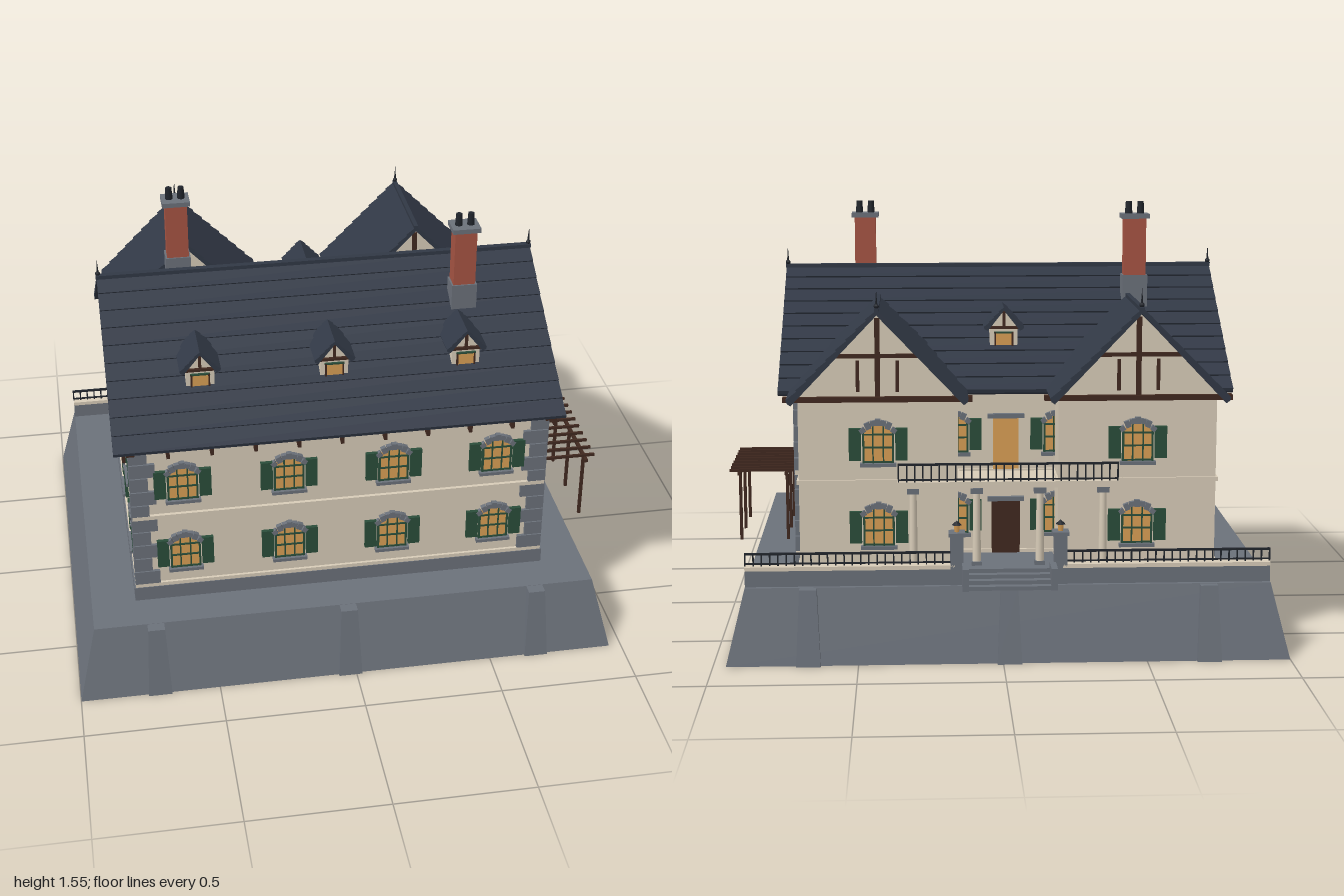
import * as THREE from 'three';

const mat = (name, color) => Object.assign(new THREE.MeshStandardMaterial({ color }), { name });
const plaster = mat('plaster', 0xd8ccb8);
const stone = mat('stone', 0x6b717a);
const slate = mat('slate', 0x313845);
const timber = mat('timber', 0x40281f);
const brick = mat('brick', 0xa65443);
const green = mat('shutter green', 0x2a4d3a);
const glass = mat('lit glass', 0xd99f55);
const iron = mat('iron', 0x20242b);

function add(parent, name, geo, material, x = 0, y = 0, z = 0) {
  const m = new THREE.Mesh(geo, material);
  m.name = name;
  m.position.set(x, y, z);
  parent.add(m);
  return m;
}
// Box given by its centre in x and z, and its bottom and top in y
const box = (p, name, material, w, d, y0, y1, x = 0, z = 0) =>
  add(p, name, new THREE.BoxGeometry(w, y1 - y0, d), material, x, (y0 + y1) / 2, z);
function group(parent, name, x = 0, y = 0, z = 0, ry = 0) {
  const g = new THREE.Group();
  g.name = name;
  g.position.set(x, y, z);
  g.rotation.y = ry;
  parent.add(g);
  return g;
}
// Box whose top has its own size and z offset
function taper(w0, d0, w1, d1, h, dz = 0) {
  const geo = new THREE.BoxGeometry(w0, h, d0).translate(0, h / 2, 0);
  const p = geo.attributes.position;
  for (let i = 0; i < p.count; i++) {
    if (p.getY(i) > h / 2) p.setXYZ(i, p.getX(i) * w1 / w0, h, p.getZ(i) * d1 / d0 + dz);
  }
  geo.computeVertexNormals();
  return geo;
}
const extrude = (shape, depth) => new THREE.ExtrudeGeometry(shape, { depth, bevelEnabled: false, curveSegments: 6 });
const polygon = pts => new THREE.Shape(pts.map(p => new THREE.Vector2(...p)));

// Gabled roof with overlapping courses, ridge along z
function roofGeometry(half, rise, length, rows, step = 0.006, t = 0.012) {
  const len = Math.hypot(half, rise), nx = rise / len, ny = half / len;
  const left = [];
  for (let i = 0; i < rows; i++) {
    const a = i / rows, b = (i + 1) / rows;
    left.push([-half * (1 - a) - nx * step, rise * a + ny * step], [-half * (1 - b), rise * b]);
  }
  const right = left.slice(0, -1).reverse().map(([x, y]) => [-x, y]);
  const drop = t / ny;
  return extrude(polygon([...left, ...right, [half, -drop / 2], [half - 0.012, -drop], [0, rise - drop],
    [-half + 0.012, -drop], [-half, -drop / 2]]), length).translate(0, 0, -length / 2);
}

// Half-timbered gable facing +z
function gable(parent, half, h, beam, x, y, z, ry) {
  const g = group(parent, 'timberedGable', x, y, z, ry);
  add(g, 'gableWall', extrude(polygon([[-half, 0], [half, 0], [0, h]]), 0.02), plaster, 0, 0, -0.02);
  box(g, 'kingPost', timber, 0.018, 0.016, 0, h - 0.015);
  box(g, 'collarBeam', timber, half * 1.02, 0.016, h * 0.49, h * 0.49 + 0.014);
  for (const s of [-1, 1]) box(g, 'gableStud', timber, 0.012, 0.014, 0.03, h * 0.46, s * half * 0.23);
  box(g, 'tieBeam', timber, beam * 2, 0.03, -0.004, 0.014, 0, 0.005);
}

// Arched shuttered window facing +z, sill at the origin
function makeWindow(parent, x, y, z, ry = 0) {
  const g = group(parent, 'window', x, y, z, ry);
  const pane = polygon([[-0.052, 0], [0.052, 0], [0.052, 0.108]]);
  pane.quadraticCurveTo(0, 0.165, -0.052, 0.108);
  add(g, 'windowPane', extrude(pane, 0.008), glass);
  for (const s of [-1, 1]) {
    box(g, 'shutter', green, 0.042, 0.014, 0.01, 0.122, s * 0.08, 0.008);
    box(g, 'windowJamb', green, 0.007, 0.012, 0, 0.11, s * 0.051, 0.006);
    box(g, 'mullion', green, 0.005, 0.004, 0, 0.13, s * 0.018, 0.01);
  }
  for (const h of [0.004, 0.055, 0.1]) box(g, 'glazingBar', green, 0.1, 0.004, h - 0.003, h + 0.003, 0, 0.01);
  for (let i = -3; i <= 3; i++) {
    const v = add(g, 'archStone', new THREE.BoxGeometry(0.019, i % 2 ? 0.018 : 0.024, 0.018), stone,
      i * 0.018, 0.143 - i * i * 0.0032, 0.008);
    v.rotation.z = -i * 0.2;
  }
  box(g, 'windowSill', stone, 0.125, 0.024, -0.012, 0, 0, 0.01);
}

function dormer(parent, x, z, ry) {
  const g = group(parent, 'dormer', x, 0, z, ry);
  box(g, 'dormerBody', plaster, 0.1, 0.14, 1.03, 1.112, 0, -0.08);
  box(g, 'dormerPane', glass, 0.056, 0.008, 1.048, 1.09, 0, -0.008);
  for (const s of [-1, 1]) box(g, 'dormerFrame', timber, 0.006, 0.012, 1.045, 1.095, s * 0.031, -0.008);
  box(g, 'dormerLintel', green, 0.07, 0.012, 1.09, 1.096, 0, -0.008);
  add(g, 'dormerGable', extrude(polygon([[-0.06, 0], [0.06, 0], [0, 0.063]]), 0.13), plaster, 0, 1.108, -0.142);
  box(g, 'dormerTie', timber, 0.13, 0.012, 1.106, 1.116, 0, -0.008);
  box(g, 'dormerPost', timber, 0.01, 0.01, 1.11, 1.17, 0, -0.008);
  add(g, 'dormerRoof', roofGeometry(0.07, 0.073, 0.165, 4, 0.004, 0.008), slate, 0, 1.112, -0.08);
}

function chimney(parent, x, z, lift) {
  const g = group(parent, 'chimney', x, lift, z);
  box(g, 'chimneyBase', stone, 0.092, 0.075, 1.1, 1.262);
  box(g, 'chimneyStack', brick, 0.08, 0.064, 1.262, 1.47);
  box(g, 'chimneyCap', stone, 0.102, 0.088, 1.47, 1.487);
  for (const s of [-1, 1])
    add(g, 'chimneyPot', new THREE.CylinderGeometry(0.011, 0.014, 0.045, 8), iron, s * 0.022, 1.509, 0);
}

function finial(parent, x, y, z) {
  add(parent, 'finialBall', new THREE.SphereGeometry(0.009, 8, 6), iron, x, y + 0.012, z);
  add(parent, 'finialSpike', new THREE.ConeGeometry(0.006, 0.07, 6), iron, x, y + 0.035, z);
}

// Iron railing along x
function railing(parent, x0, x1, y0, y1, z) {
  const g = group(parent, 'railing'), w = x1 - x0, mid = (x0 + x1) / 2, n = Math.round(w / 0.028);
  box(g, 'topRail', iron, w, 0.009, y1 - 0.007, y1, mid, z);
  box(g, 'bottomRail', iron, w, 0.006, y0 + 0.005, y0 + 0.01, mid, z);
  for (let i = 0; i <= n; i++) box(g, 'baluster', iron, 0.005, 0.005, y0, y1, x0 + w * i / n, z);
}

export function createModel() {
  const root = new THREE.Group();
  root.name = 'manor';
  const house = group(root, 'house', -0.022);

  // Battered terrace with buttresses
  add(house, 'terraceBase', taper(1.955, 1.615, 1.825, 1.49, 0.263, -0.0075), stone, 0, 0, 0.0075);
  for (const x of [-0.694, 0, 0.694]) {
    add(house, 'buttress', taper(0.085, 0.1, 0.06, 0.1, 0.262, -0.04), stone, x, 0, 0.775);
    add(house, 'buttress', taper(0.085, 0.1, 0.06, 0.1, 0.262, 0.04), stone, x, 0, -0.765);
  }

  // Main block with plinth and string courses
  box(house, 'plinth', stone, 1.51, 1.115, 0.26, 0.318, 0, 0.045);
  box(house, 'plinthCap', plaster, 1.5, 1.11, 0.318, 0.332, 0, 0.045);
  box(house, 'mainWalls', plaster, 1.47, 1.09, 0.33, 0.91, 0, 0.045);
  box(house, 'stringCourse', plaster, 1.495, 1.115, 0.611, 0.626, 0, 0.045);
  for (const sx of [-1, 1]) for (const z of [0.59, -0.5]) for (let i = 0; i < 10; i++) {
    const a = i % 2 ? 0.064 : 0.09, y = 0.333 + i * 0.057;
    box(house, 'quoin', stone, a, 0.154 - a, y, y + 0.053, sx * (0.75 - a / 2), z + Math.sign(z) * (0.012 - (0.154 - a) / 2));
  }

  // Rear wings with cross roofs
  for (const s of [-1, 1]) {
    const w = group(house, 'rearWing', s * 0.449);
    box(w, 'wingPlinth', stone, 0.57, 0.2, 0.26, 0.318, 0, -0.585);
    box(w, 'wingPlinthCap', plaster, 0.562, 0.2, 0.318, 0.332, 0, -0.581);
    box(w, 'wingWalls', plaster, 0.55, 0.2, 0.33, 0.91, 0, -0.57);
    box(w, 'wingStringCourse', plaster, 0.565, 0.2, 0.611, 0.626, 0, -0.578);
    add(w, 'wingRoof', roofGeometry(0.306, 0.308, 0.43, 9), slate, 0, 0.916, -0.535);
    box(w, 'wingRidge', slate, 0.016, 0.434, 1.217, 1.23, 0, -0.535);
    gable(w, 0.296, 0.3, 0.325, 0, 0.905, -0.675, Math.PI);
    gable(w, 0.296, 0.3, 0.25, 0, 0.905, -0.345, 0);
    finial(w, 0, 1.225, -0.74);
    for (const y of [0.393, 0.686]) makeWindow(w, 0, y, -0.67, Math.PI);
  }

  // Main roof
  add(house, 'mainRoof', roofGeometry(0.592, 0.384, 1.6, 10), slate, 0, 0.914, 0.042).rotation.y = Math.PI / 2;
  box(house, 'mainRidge', slate, 1.606, 0.022, 1.292, 1.306, 0, 0.042);
  box(house, 'eavesBoard', timber, 1.5, 0.03, 0.896, 0.908, 0, 0.6);
  for (let i = 0; i < 11; i++) box(house, 'eavesBracket', timber, 0.012, 0.035, 0.872, 0.912, -0.765 + i * 0.153, 0.603);
  for (const s of [-1, 1]) {
    gable(house, 0.578, 0.376, 0.592, s * 0.737, 0.905, 0.042, s * Math.PI / 2);
    finial(house, s * 0.795, 1.3, 0.042);
  }
  for (const x of [-0.475, 0, 0.475]) dormer(house, x, 0.445, 0);
  dormer(house, 0, -0.36, Math.PI);
  chimney(house, -0.493, -0.135, 0.017);
  chimney(house, 0.507, 0.212, 0);

  // Windows on each floor
  for (const y of [0.393, 0.686]) {
    for (const x of [-0.565, -0.188, 0.188, 0.565]) makeWindow(house, x, y, 0.59);
    for (const x of [-0.188, 0.188]) makeWindow(house, x, y, -0.5, Math.PI);
    for (const s of [-1, 1]) for (const z of [0.412, 0.042, -0.328])
      makeWindow(house, s * 0.735, y, z, s * Math.PI / 2);
  }

  // Rear porch, balcony and door
  box(house, 'porchFloor', stone, 0.36, 0.21, 0.26, 0.32, 0, -0.6);
  box(house, 'balconyFloor', plaster, 0.77, 0.2, 0.598, 0.62, 0, -0.597);
  box(house, 'door', timber, 0.1, 0.016, 0.32, 0.51, 0, -0.504);
  for (const y of [0.32, 0.62]) box(house, 'doorHead', stone, 0.13, 0.03, y + 0.19, y + 0.205, 0, -0.505);
  box(house, 'balconyDoor', glass, 0.09, 0.016, 0.62, 0.81, 0, -0.504);
  railing(house, -0.38, 0.38, 0.62, 0.685, -0.69);
  for (const x of [-0.33, -0.11, 0.11, 0.33]) {
    add(house, 'porchColumn', new THREE.CylinderGeometry(0.012, 0.015, 0.27, 12), plaster, x, 0.455, -0.682);
    box(house, 'columnBase', stone, 0.036, 0.036, 0.318, 0.336, x, -0.68);
    box(house, 'columnCapital', stone, 0.042, 0.036, 0.578, 0.598, x, -0.68);
  }

  // Terrace parapet, gate piers with lanterns, and steps
  for (const s of [-1, 1]) {
    box(house, 'parapet', stone, 0.725, 0.03, 0.26, 0.32, s * 0.55, -0.715);
    box(house, 'parapetCap', plaster, 0.725, 0.04, 0.32, 0.334, s * 0.55, -0.715);
    railing(house, Math.min(s * 0.2, s * 0.912), Math.max(s * 0.2, s * 0.912), 0.334, 0.38, -0.715);
    box(house, 'gatePier', stone, 0.046, 0.046, 0.26, 0.435, s * 0.18, -0.712);
    box(house, 'pierCap', stone, 0.058, 0.058, 0.435, 0.448, s * 0.18, -0.712);
    add(house, 'lantern', new THREE.CylinderGeometry(0.012, 0.009, 0.025, 6), glass, s * 0.18, 0.46, -0.712);
    add(house, 'lanternHood', new THREE.ConeGeometry(0.018, 0.016, 6), iron, s * 0.18, 0.48, -0.712);
    box(house, 'stepCheek', stone, 0.022, 0.095, 0.265, 0.342, s * 0.152, -0.778);
  }
  for (let i = 0; i < 4; i++) {
    const d = 0.125 - i * 0.026;
    box(house, 'step', stone, 0.29, d, 0.266 + i * 0.014, 0.28 + i * 0.014, 0, -0.695 - d / 2);
  }

  // Side pergola
  const pergola = group(house, 'pergola');
  for (const x of [0.808, 0.985]) {
    for (const z of [0.32, 0.13, -0.05]) box(pergola, 'pergolaPost', timber, 0.011, 0.011, 0.262, 0.525, x, z);
    box(pergola, 'pergolaBeam', timber, 0.012, 0.455, 0.52, 0.532, x, 0.132);
  }
  for (let i = 0; i < 9; i++) box(pergola, 'pergolaRafter', timber, 0.25, 0.009, 0.532, 0.542, 0.897, -0.078 + i * 0.0515);

  return root;
}
